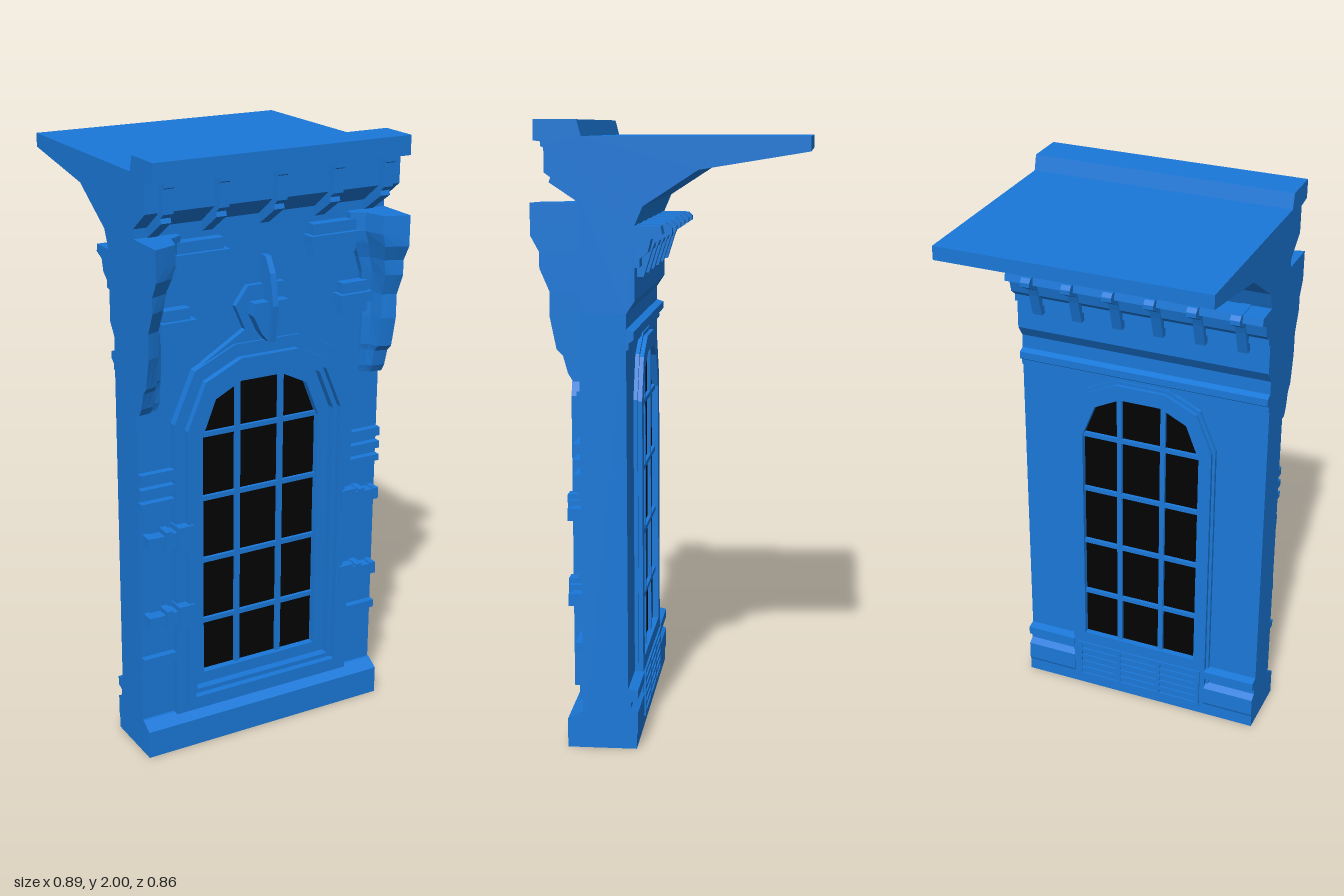
import * as THREE from 'three';

const W = 0.447; // half width of the bay
const stone = new THREE.MeshStandardMaterial({ color: 0x1a78d8, flatShading: true });
const dark = new THREE.MeshStandardMaterial({ color: 0x020202 });

export function createModel() {
  const model = new THREE.Group();

  const add = (name, geometry, material = stone) => {
    const mesh = new THREE.Mesh(geometry, material);
    mesh.name = name;
    model.add(mesh);
    return mesh;
  };
  const toShape = (pts) => new THREE.Shape(pts.map(([x, y]) => new THREE.Vector2(x, y)));

  // Box given by its limits
  const box = (name, x0, x1, y0, y1, z0, z1) => {
    const g = new THREE.BoxGeometry(x1 - x0, y1 - y0, z1 - z0);
    g.translate((x0 + x1) / 2, (y0 + y1) / 2, (z0 + z1) / 2);
    return add(name, g);
  };
  // The same box on both sides
  const boxPair = (name, x0, x1, ...rest) => {
    box(name, x0, x1, ...rest);
    box(name, -x1, -x0, ...rest);
  };
  // Moulding with a [z, y] profile running along x
  const moulding = (name, profile, x0 = -W, x1 = W) => {
    const g = new THREE.ExtrudeGeometry(toShape(profile.map(([z, y]) => [-z, y])), { depth: x1 - x0, bevelEnabled: false });
    g.rotateY(Math.PI / 2).translate(x0, 0, 0);
    return add(name, g);
  };
  // Plate with an [x, y] outline and optional hole between two depths
  const plate = (name, outline, hole, z0, z1, material) => {
    const s = toShape(outline);
    if (hole) s.holes.push(new THREE.Path(hole.map(([x, y]) => new THREE.Vector2(x, y))));
    const g = new THREE.ExtrudeGeometry(s, { depth: z1 - z0, bevelEnabled: false });
    g.translate(0, 0, z0);
    return add(name, g, material);
  };
  // Faceted window arch, grown outward by d
  const arch = (d, y0 = 0.235 - d) => {
    const w = 0.215 + d, spring = 1.08 + 0.6 * d, top = 1.245 + 1.17 * d;
    const shoulder = spring + 0.72 * (top - spring);
    return [[-w, y0], [w, y0], [w, spring], [0.78 * w, shoulder], [0.35 * w, top],
      [-0.35 * w, top], [-0.78 * w, shoulder], [-w, spring]];
  };

  // Wall with its window opening
  plate('wall', [[-W, 0], [W, 0], [W, 1.42], [-W, 1.42]], arch(0.02), 0.133, 0.28);

  // Upper wall, cornice and projecting roof
  moulding('roofAndCornice', [[0.28, 1.41], [0.28, 1.78], [0.36, 1.84], [0.36, 1.93], [0.414, 1.937],
    [0.414, 2], [0.28, 2], [0.267, 1.95], [-0.428, 1.95], [-0.428, 1.905], [-0.09, 1.85],
    [0.08, 1.74], [0.106, 1.68], [0.106, 1.45], [0.133, 1.41]]);
  for (const x of [-0.385, -0.2, 0, 0.2, 0.385]) {
    moulding('corniceBracket', [[0.27, 1.75], [0.285, 1.75], [0.375, 1.81], [0.37, 1.825], [0.39, 1.84],
      [0.39, 1.915], [0.4, 1.92], [0.4, 1.935], [0.27, 1.935]], x - 0.017, x + 0.017);
  }

  // Plinth
  moulding('plinth', [[0.106, 0], [0.33, 0], [0.33, 0.095], [0.29, 0.12], [0.14, 0.12], [0.14, 0.05], [0.106, 0.05]]);

  // Stepped window surround at the front
  [[0.115, 0.08, 0.308], [0.08, 0.055, 0.33], [0.055, 0.04, 0.308], [0.04, 0, 0.28]]
    .forEach(([outer, inner, z]) => plate('windowSurround', arch(outer), arch(inner), 0.15, z));
  plate('hood', [[-0.255, 1.3], [0, 1.36], [0.255, 1.3], [0.22, 1.335], [0.06, 1.43], [-0.06, 1.43], [-0.22, 1.335]],
    null, 0.27, 0.3);

  // Back surround reaching the floor
  plate('backSurround', arch(0.045, 0), arch(0), 0.106, 0.17);
  plate('backSurroundEdge', arch(0.055, 0), arch(0.04, 0.02), 0.12, 0.17);

  // Glazing and bars, showing close to both faces of the wall
  plate('glass', arch(0.005), null, 0.128, 0.255, dark);
  for (const x of [-0.08, 0.08]) box('glazingBar', x - 0.009, x + 0.009, 0.23, 1.245, 0.116, 0.267);
  for (const y of [0.42, 0.64, 0.86, 1.08]) box('glazingBar', -0.215, 0.215, y - 0.008, y + 0.008, 0.116, 0.267);

  // Faceted corner consoles, lofted from half-round sections
  const section = [[0, 0], [0, 1], [0.26, 0.91], [0.55, 0.8], [0.7, 0.35], [1, 0.2], [1, 0]];
  const rings = [[1.2, 0.07, 0.02], [1.225, 0.08, 0.035], [1.28, 0.08, 0.05], [1.3, 0.08, 0.07], [1.4, 0.08, 0.09],
    [1.48, 0.08, 0.09], [1.55, 0.09, 0.12], [1.6, 0.105, 0.12], [1.65, 0.125, 0.147], [1.69, 0.145, 0.147], [1.75, 0.145, 0.147]]
    .map(([y, w, d]) => section.map(([u, v]) => [W - u * w, y, 0.275 + v * (d + 0.005)]));
  const tri = [];
  const n = section.length;
  for (let r = 0; r < rings.length - 1; r++) {
    for (let i = 0; i < n; i++) {
      const j = (i + 1) % n, a = rings[r][i], b = rings[r][j], c = rings[r + 1][j], d = rings[r + 1][i];
      tri.push(...a, ...c, ...b, ...a, ...d, ...c);
    }
  }
  const low = rings[0], high = rings[rings.length - 1];
  for (let i = 1; i < n - 1; i++) {
    tri.push(...low[0], ...low[i], ...low[i + 1], ...high[0], ...high[i + 1], ...high[i]);
  }
  const consoleGeo = new THREE.BufferGeometry();
  consoleGeo.setAttribute('position', new THREE.Float32BufferAttribute(tri, 3));
  consoleGeo.computeVertexNormals();
  const consoleMaterial = stone.clone();
  consoleMaterial.side = THREE.DoubleSide;
  for (const s of [1, -1]) add('cornerConsole', consoleGeo, consoleMaterial).scale.x = s;

  // Carved blocks beside the consoles: a long middle bar between two shorter ones
  for (const [inner, outer, y] of [[0.145, 0.33, 1.678], [0.26, 0.38, 1.472]]) {
    boxPair('carvedBar', inner, outer, y - 0.017, y + 0.017, 0.27, 0.33);
    boxPair('carvedBar', inner + 0.015, outer - 0.01, y + 0.017, y + 0.052, 0.27, 0.315);
    boxPair('carvedBar', inner + 0.015, outer - 0.01, y - 0.052, y - 0.017, 0.27, 0.315);
  }

  // Ornament above the window
  plate('ornamentPlaque', [[-0.07, 1.41], [0.07, 1.41], [0.11, 1.5], [0.065, 1.56], [-0.065, 1.56], [-0.11, 1.5]],
    null, 0.27, 0.3);
  plate('ornamentBud', [[-0.01, 1.38], [0.01, 1.38], [0.035, 1.41], [0.065, 1.47], [0.06, 1.51], [-0.06, 1.51], [-0.065, 1.47], [-0.035, 1.41]],
    null, 0.27, 0.335);
  moulding('ornamentBlade', [[0.27, 1.38], [0.345, 1.38], [0.36, 1.5], [0.34, 1.6], [0.31, 1.65], [0.27, 1.65]], -0.01, 0.01);

  // Side clasps and string courses
  for (const y of [0.49, 0.77]) {
    boxPair('clasp', 0.28, 0.335, y - 0.042, y + 0.042, 0.27, 0.34);
    boxPair('claspNeck', 0.335, 0.352, y - 0.024, y + 0.024, 0.27, 0.33);
    boxPair('claspCollar', 0.352, 0.375, y - 0.032, y + 0.032, 0.27, 0.33);
    boxPair('claspRod', 0.375, 0.415, y - 0.016, y + 0.016, 0.27, 0.32);
    boxPair('claspTip', 0.415, 0.435, y - 0.02, y + 0.02, 0.27, 0.325);
  }
  for (const [y0, y1] of [[0.97, 1], [0.925, 0.95], [0.88, 0.902], [0.325, 0.352]]) {
    boxPair('stringCourse', 0.325, W, y0, y1, 0.27, 0.303);
  }

  // Back mouldings: skirting on both sides, band above the window
  const skirting = [[0.15, 0], [0.106, 0], [0.106, 0.045], [0.102, 0.055], [0.102, 0.12], [0.125, 0.135],
    [0.125, 0.155], [0.102, 0.165], [0.102, 0.195], [0.15, 0.205]];
  moulding('backSkirting', skirting, 0.26, W);
  moulding('backSkirting', skirting, -W, -0.26);
  moulding('backBand', [[0.14, 1.295], [0.125, 1.3], [0.125, 1.32], [0.11, 1.33], [0.11, 1.355], [0.14, 1.365]]);

  // Back cornice with brackets
  moulding('backCornice', [[0.13, 1.68], [0.025, 1.68], [0.02, 1.655], [0.055, 1.64], [0.065, 1.6],
    [0.09, 1.58], [0.09, 1.555], [0.13, 1.55]]);
  for (let i = 0; i < 6; i++) {
    const x = -0.3625 + i * 0.145;
    moulding('backBracket', [[0.12, 1.52], [0.085, 1.52], [0.06, 1.6], [0.05, 1.625], [-0.003, 1.655], [-0.003, 1.67],
      [0.01, 1.683], [0.12, 1.683]], x - 0.017, x + 0.017);
  }

  // Vent grille under the window
  box('grillePanel', -0.235, 0.235, 0.035, 0.19, 0.106, 0.13);
  for (let i = 0; i < 6; i++) {
    const y = 0.035 + i * 0.0285;
    box('grilleSlat', -0.24, 0.24, y, y + 0.012, 0.1, 0.12);
  }
  for (const x of [-0.235, -0.08, 0.08, 0.235]) box('grilleBar', x - 0.007, x + 0.007, 0.035, 0.19, 0.1, 0.12);

  return model;
}
